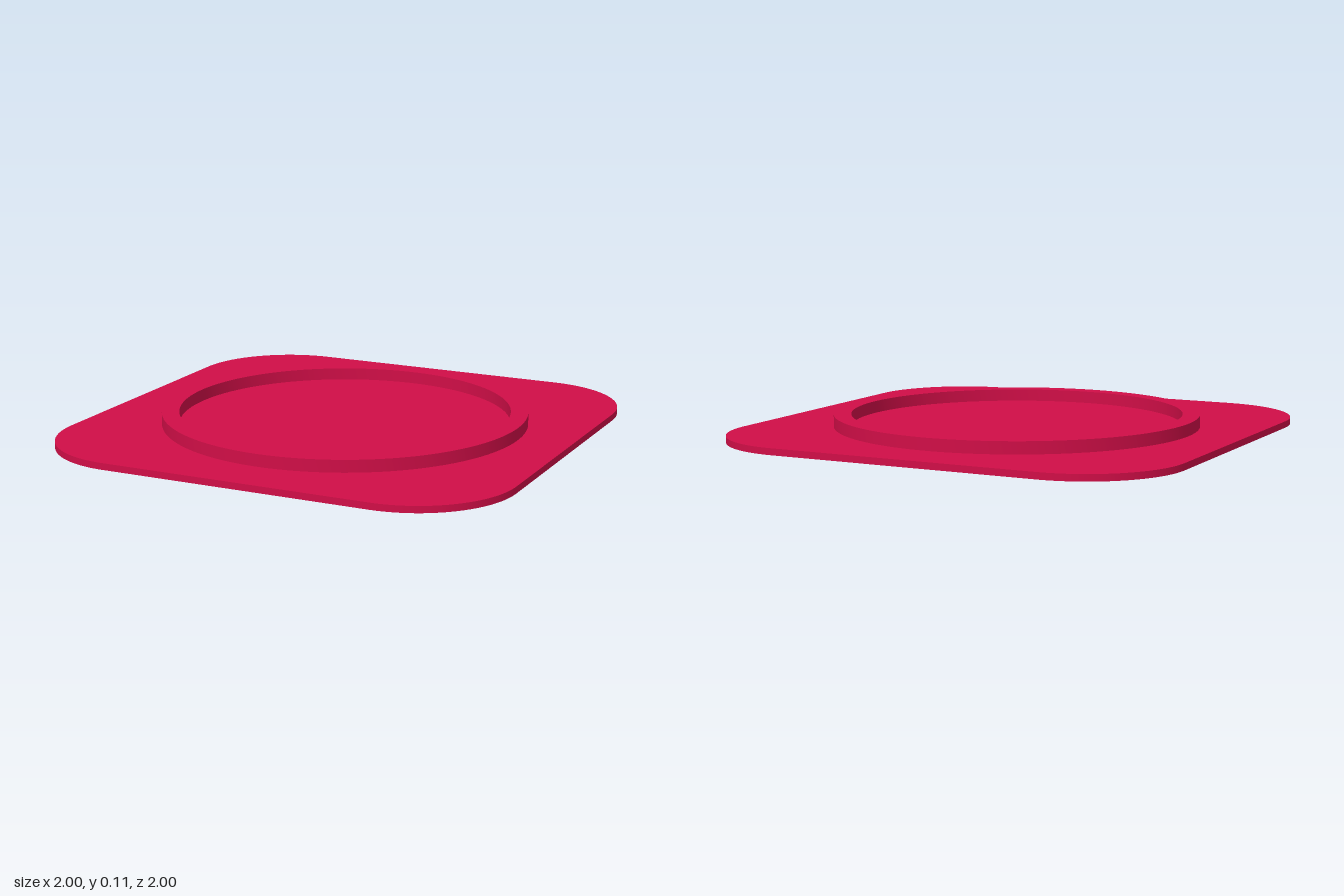
import * as THREE from 'three';
import { toCreasedNormals } from 'three/addons/utils/BufferGeometryUtils.js';

// Extrude a plan shape upward from y0 to y1, smooth round walls and sharp rims
function slab(shape, y0, y1, curveSegments) {
  const geometry = new THREE.ExtrudeGeometry(shape, { depth: y1 - y0, bevelEnabled: false, curveSegments });
  geometry.rotateX(-Math.PI / 2);
  geometry.translate(0, y0, 0);
  return toCreasedNormals(geometry, Math.PI / 6);
}

// Square with rounded corners
function roundedSquare(half, radius) {
  const shape = new THREE.Shape();
  const c = half - radius;
  [[c, c], [-c, c], [-c, -c], [c, -c]].forEach(([x, y], i) => {
    shape.absarc(x, y, radius, (i * Math.PI) / 2, ((i + 1) * Math.PI) / 2, false);
  });
  shape.closePath();
  return shape;
}

function annulus(outer, inner) {
  const shape = new THREE.Shape().absarc(0, 0, outer, 0, Math.PI * 2, false);
  shape.holes.push(new THREE.Path().absarc(0, 0, inner, 0, Math.PI * 2, true));
  return shape;
}

export function createModel() {
  const group = new THREE.Group();
  group.name = 'coaster';
  const crimson = new THREE.MeshStandardMaterial({ color: 0xd00e47 });
  crimson.name = 'crimson';

  const add = (name, geometry) => {
    const mesh = new THREE.Mesh(geometry, crimson);
    mesh.name = name;
    group.add(mesh);
  };

  // Thin base plate
  add('basePlate', slab(roundedSquare(1, 0.42), 0.028, 0.056, 32));

  // Rim above the plate and the shallow foot ring below it
  const ring = annulus(0.778, 0.704);
  add('upperRim', slab(ring, 0.056, 0.108, 64));
  add('footRing', slab(ring, 0, 0.028, 64));

  return group;
}
